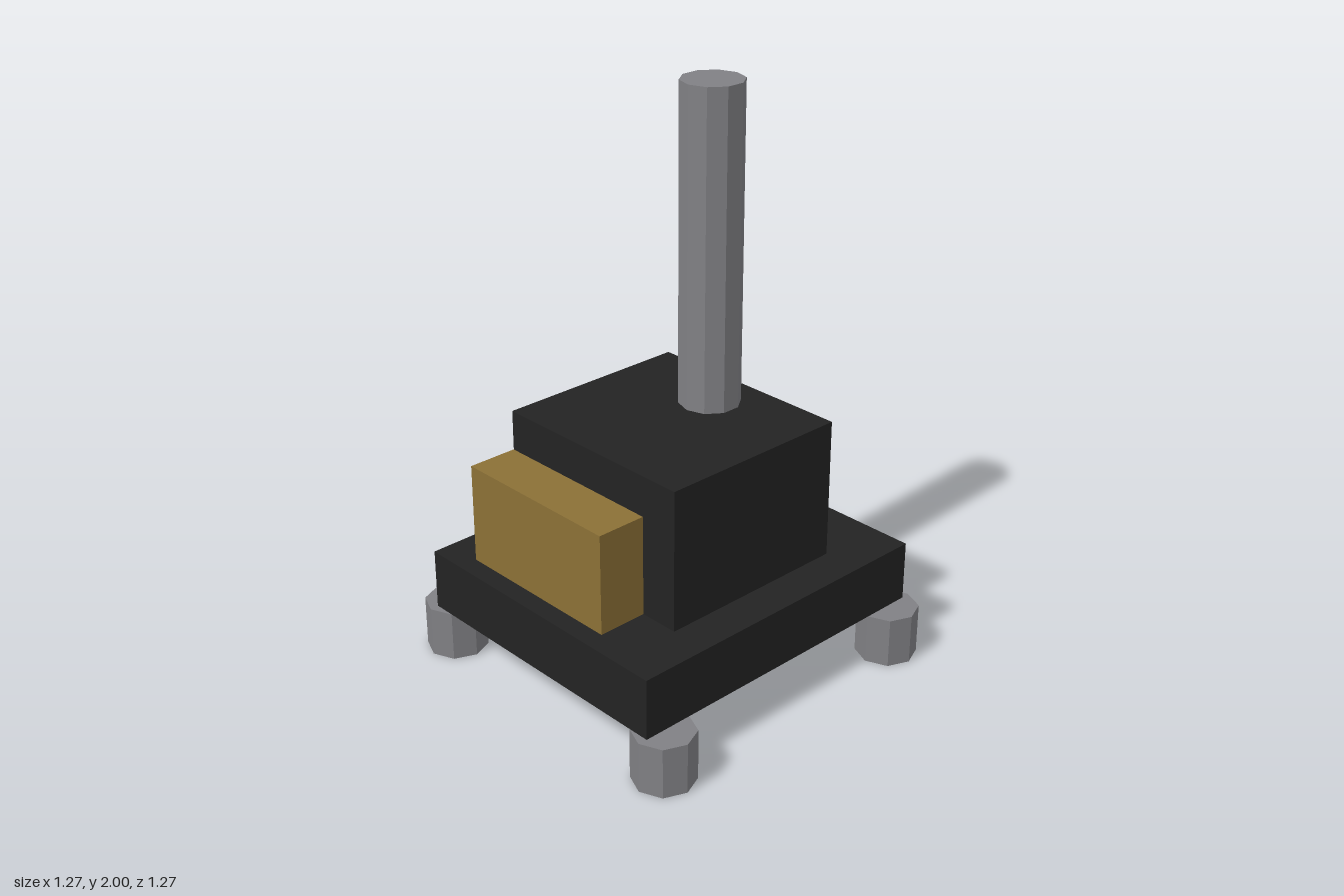
import * as THREE from 'three';

const material = (name, color) => {
  const m = new THREE.MeshStandardMaterial({ color, flatShading: true });
  m.name = name;
  return m;
};

export function createModel() {
  const model = new THREE.Group();
  model.name = 'machine';
  const black = material('black', 0x232323);
  const grey = material('grey', 0x808084);
  const gold = material('gold', 0x8b7036);

  // Box given by its minimum and maximum corners
  const addBox = (name, mat, [x0, y0, z0], [x1, y1, z1]) => {
    const mesh = new THREE.Mesh(new THREE.BoxGeometry(x1 - x0, y1 - y0, z1 - z0), mat);
    mesh.position.set((x0 + x1) / 2, (y0 + y1) / 2, (z0 + z1) / 2);
    mesh.name = name;
    model.add(mesh);
  };

  // Upright prism with one corner pointing along +x
  const addPost = (name, radius, sides, x, z, y0, y1) => {
    const geometry = new THREE.CylinderGeometry(radius, radius, y1 - y0, sides);
    geometry.rotateY(Math.PI / 2);
    const mesh = new THREE.Mesh(geometry, grey);
    mesh.position.set(x, (y0 + y1) / 2, z);
    mesh.name = name;
    model.add(mesh);
  };

  // Body: wide base with a smaller block on top
  addBox('base', black, [-0.605, 0.18, -0.533], [0.605, 0.395, 0.533]);
  addBox('block', black, [-0.356, 0.395, -0.392], [0.356, 0.893, 0.392]);

  // Side box, set into the block and just proud of its back
  addBox('sideBox', gold, [-0.535, 0.39, -0.393], [-0.105, 0.75, 0.249]);

  // Tall ten-sided chimney
  addPost('chimney', 0.107, 10, 0.178, 0, 0.88, 2);

  // Four octagonal feet under the corners
  for (const x of [-0.53, 0.53])
    for (const z of [-0.53, 0.53]) addPost('foot', 0.107, 8, x, z, 0, 0.18);

  return model;
}
